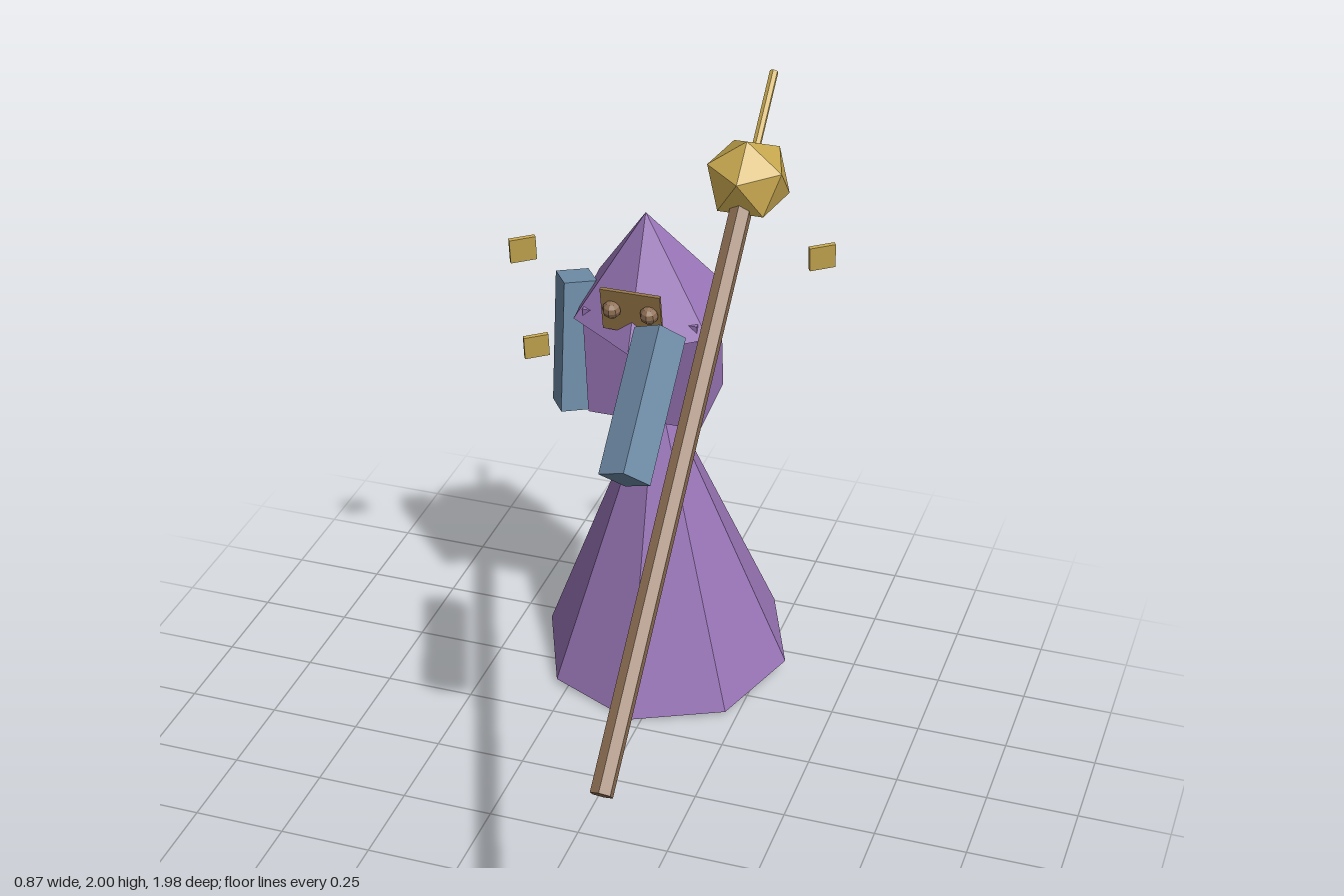
import * as THREE from 'three';

const paint = (name, color) => {
  const m = new THREE.MeshStandardMaterial({ color, flatShading: true });
  m.name = name;
  return m;
};
const deg = THREE.MathUtils.degToRad;

export function createModel() {
  const root = new THREE.Group();
  root.name = 'hoodedFigure';

  const purple = paint('purpleCloth', 0x9c78bb);
  const blue = paint('blueSleeve', 0x6f8da8);
  const gold = paint('gold', 0xc8a850);
  const wood = paint('wood', 0x8d6e53);
  const bronze = paint('bronzeMask', 0x947548);

  // tilt leans a part about x, yaw turns it about its own height (degrees)
  const add = (parent, name, geometry, material, pos, tilt = 0, yaw = 0) => {
    const mesh = new THREE.Mesh(geometry, material);
    mesh.name = name;
    mesh.position.set(...pos);
    mesh.rotation.set(deg(tilt), deg(yaw), 0);
    parent.add(mesh);
    return mesh;
  };

  const midX = -0.033;

  // Robe, torso and pointed hood
  add(root, 'robe', new THREE.ConeGeometry(0.357, 0.95, 8), purple, [midX, 0.527, -0.567], 8);
  add(root, 'torso', new THREE.BoxGeometry(0.316, 0.338, 0.216), purple, [midX, 1.099, -0.48], 8);
  add(root, 'hood', new THREE.ConeGeometry(0.215, 0.305, 6), purple, [midX, 1.386, -0.432], 12.5);

  // Mask with two round eyes
  add(root, 'mask', new THREE.BoxGeometry(0.163, 0.13, 0.01), bronze, [midX, 1.3, -0.286], 12.5);
  for (const side of [-1, 1]) {
    add(root, side > 0 ? 'leftEye' : 'rightEye', new THREE.SphereGeometry(0.025, 8, 6), wood,
      [midX + side * 0.051, 1.305, -0.275], 12.5);
  }

  // Arms: one hanging, one reaching out along the staff
  const arm = new THREE.BoxGeometry(0.09, 0.375, 0.09);
  add(root, 'rightArm', arm, blue, [-0.245, 1.102, -0.442], -5, 34);
  add(root, 'leftArm', arm, blue, [0.188, 1.375, 0.3], -46, -34);

  // Staff, built upright from the orb's centre and then leaned
  const staff = new THREE.Group();
  staff.name = 'staff';
  staff.position.set(0.313, 1.797, -0.137);
  staff.rotation.x = deg(-46);
  add(staff, 'staffShaft', new THREE.CylinderGeometry(0.0285, 0.0285, 1.54, 6), wood, [0, -0.77, 0]);
  add(staff, 'staffOrb', new THREE.IcosahedronGeometry(0.11, 0), gold, [0, 0, 0]);
  add(staff, 'staffSpike', new THREE.CylinderGeometry(0.011, 0.011, 0.285, 6), gold, [0, 0.1425, 0]);
  root.add(staff);

  // Floating square charms
  const charm = new THREE.BoxGeometry(0.07, 0.07, 0.012);
  [[-0.335, 1.43, -0.295], [0.4, 1.4, -0.56], [-0.405, 0.99, -0.575]].forEach((pos, i) =>
    add(root, `charm${i + 1}`, charm, gold, pos, 8, 32));

  return root;
}
